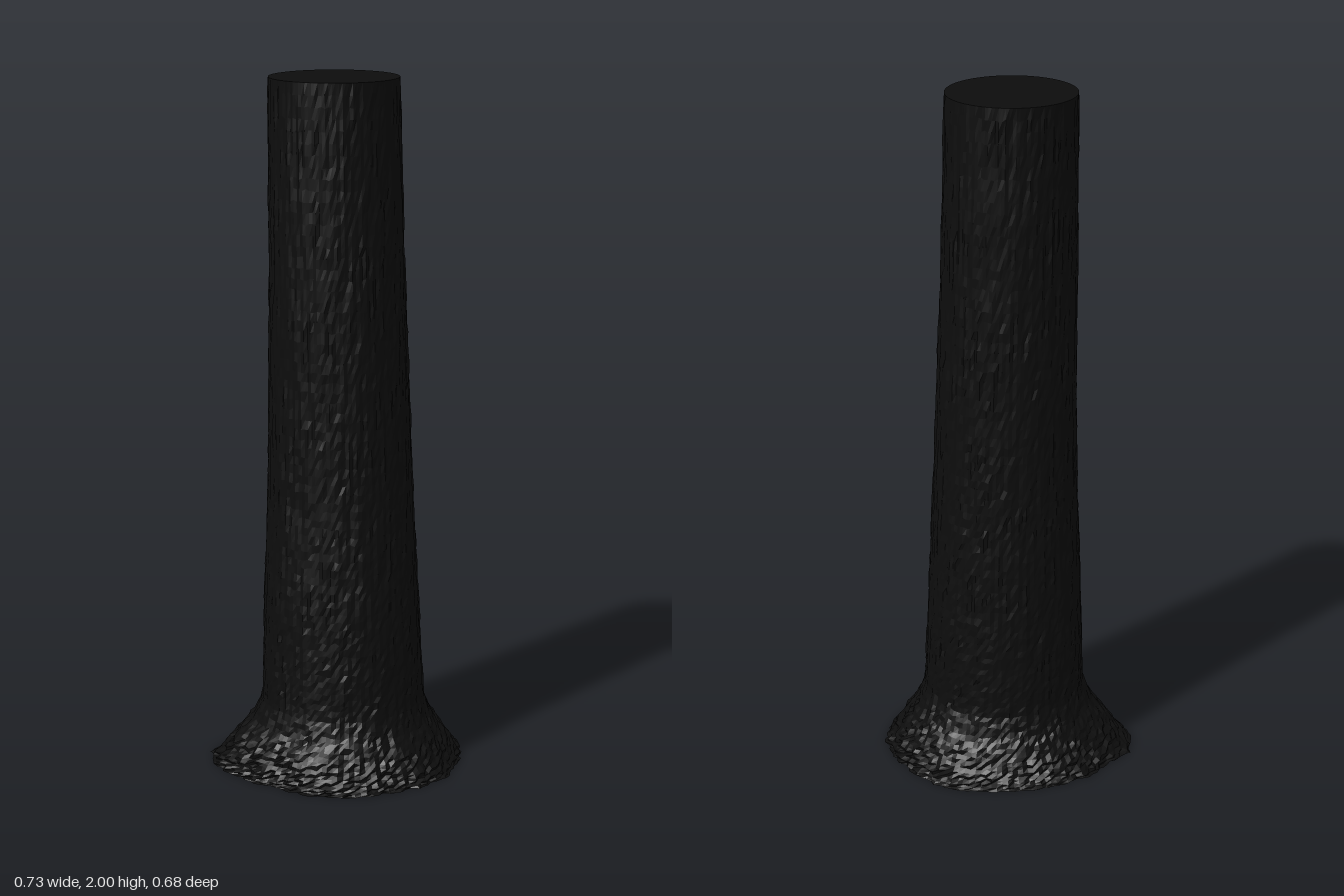
import * as THREE from 'three';

const SEGMENTS = 120, ROWS = 90;

// Trunk silhouette by height: [y, reach to -x, +x, -z, +z]
const TRUNK = [
  [0, 0.23, 0.26, 0.24, 0.255], [0.2, 0.223, 0.248, 0.232, 0.248],
  [0.5, 0.217, 0.23, 0.222, 0.232], [0.8, 0.207, 0.213, 0.209, 0.208],
  [1.1, 0.202, 0.199, 0.2, 0.2], [1.5, 0.199, 0.182, 0.189, 0.195],
  [2, 0.198, 0.168, 0.179, 0.189],
];
// Strength of the root flare by height
const FLARE = [[0, 1], [0.03, 0.78], [0.06, 0.62], [0.1, 0.4], [0.14, 0.15], [0.2, 0], [2, 0]];
// Root outline on the ground, one radius each 15 degrees from +x towards +z
const ROOTS = [0.35, 0.355, 0.352, 0.332, 0.338, 0.338, 0.33, 0.32, 0.336, 0.352, 0.378, 0.374,
  0.333, 0.33, 0.32, 0.313, 0.315, 0.326, 0.342, 0.34, 0.342, 0.352, 0.362, 0.36];

// Linear lookup in a table keyed by its first column
function lookup(table, y, column = 1) {
  let i = 0;
  while (i < table.length - 2 && table[i + 1][0] < y) i++;
  const t = (y - table[i][0]) / (table[i + 1][0] - table[i][0]);
  return THREE.MathUtils.lerp(table[i][column], table[i + 1][column], t);
}

function rootRadius(angle) {
  const s = (angle / (Math.PI * 2)) * ROOTS.length, i = Math.floor(s);
  return THREE.MathUtils.lerp(ROOTS[i % ROOTS.length], ROOTS[(i + 1) % ROOTS.length], s - i);
}

// Repeatable value from -1 to 1
function hash(a, b) {
  const s = Math.sin(a * 127.1 + b * 311.7) * 43758.5453;
  return (s - Math.floor(s)) * 2 - 1;
}

// Point on the bark: tapering, leaning oval blended into the spreading roots
function barkPoint(row, seg) {
  const j = seg % SEGMENTS;
  const angle = (j / SEGMENTS) * Math.PI * 2;
  const y = 2 * Math.pow(row / ROWS, 1.5);
  const [nx, px, nz, pz] = [1, 2, 3, 4].map((c) => lookup(TRUNK, y, c));
  const flare = lookup(FLARE, y);
  const c = Math.cos(angle), s = Math.sin(angle), root = rootRadius(angle);
  let x = THREE.MathUtils.lerp((px - nx) / 2 + c * (px + nx) / 2, c * root, flare);
  let z = THREE.MathUtils.lerp((pz - nz) / 2 + s * (pz + nz) / 2, s * root, flare);
  // long vertical ridges plus small chips, smooth at the cut top
  const ridge = hash(j, Math.floor((row + (j * 7) % 5) / 5));
  const rough = row === ROWS ? 0 : ridge * 0.0025 + hash(j + 0.5, row) * (0.0015 + 0.007 * flare);
  x += c * rough;
  z += s * rough;
  const lift = row === 0 || row === ROWS ? 0 : hash(row, j + 9) * 0.004;
  return [x, y + lift * Math.min(1, y * 8), z];
}

function makeGeometry(points, faces) {
  const geometry = new THREE.BufferGeometry();
  geometry.setAttribute('position', new THREE.Float32BufferAttribute(points, 3));
  geometry.setIndex(faces);
  geometry.computeVertexNormals();
  return geometry;
}

function barkGeometry() {
  const points = [], faces = [];
  for (let i = 0; i <= ROWS; i++) {
    for (let j = 0; j < SEGMENTS; j++) points.push(...barkPoint(i, j));
  }
  for (let i = 0; i < ROWS; i++) {
    for (let j = 0; j < SEGMENTS; j++) {
      const k = (j + 1) % SEGMENTS;
      const a = i * SEGMENTS + j, b = i * SEGMENTS + k;
      const c = a + SEGMENTS, d = b + SEGMENTS;
      faces.push(a, c, b, b, c, d);
    }
  }
  return makeGeometry(points, faces);
}

// Flat disc closing one end of the bark
function capGeometry(row, up) {
  const points = [up ? -0.015 : 0, up ? 2 : 0, up ? 0.005 : 0], faces = [];
  for (let j = 0; j < SEGMENTS; j++) {
    points.push(...barkPoint(row, j));
    const a = j + 1, b = ((j + 1) % SEGMENTS) + 1;
    faces.push(0, up ? b : a, up ? a : b);
  }
  return makeGeometry(points, faces);
}

export function createModel() {
  const charredWood = new THREE.MeshStandardMaterial({ color: 0x0d0d0d });
  charredWood.flatShading = true;
  const trunk = new THREE.Group();
  trunk.name = 'treeTrunk';
  const parts = {
    bark: barkGeometry(),
    cutTop: capGeometry(ROWS, true),
    rootUnderside: capGeometry(0, false),
  };
  for (const [name, geometry] of Object.entries(parts)) {
    const mesh = new THREE.Mesh(geometry, charredWood);
    mesh.name = name;
    trunk.add(mesh);
  }
  return trunk;
}
